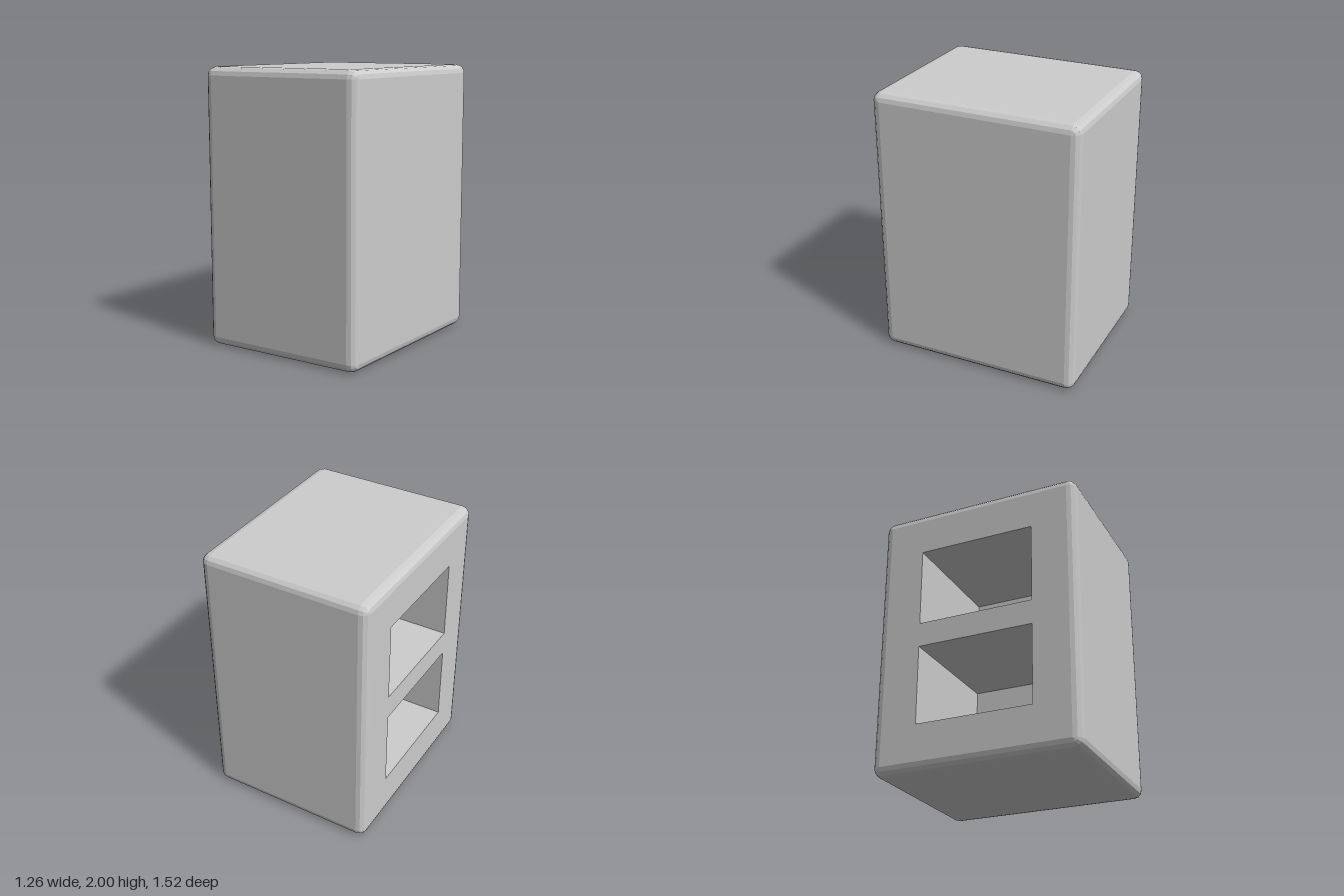
import * as THREE from 'three';

const HX = 0.63, HY = 1, HZ = 0.76; // half sizes of the block
const R = 0.062, SEG = 3;           // edge rounding in three facets
const RECESS = { halfWidth: 0.43, height: 0.58, depth: 0.93, centres: [0.62, 1.38] };

// Rounded-rectangle ring in the yz plane, with corner radius r
function ring(x, r) {
  const points = [];
  [[1, 1], [-1, 1], [-1, -1], [1, -1]].forEach(([sy, sz], corner) => {
    for (let k = 0; k <= SEG; k++) {
      const a = (corner + k / SEG) * Math.PI / 2;
      points.push(new THREE.Vector3(x, HY + sy * (HY - R) + r * Math.cos(a), sz * (HZ - R) + r * Math.sin(a)));
    }
  });
  return points;
}

// Side faces and faceted edges, lofted along x
function shellGeometry() {
  const rings = [];
  for (const side of [-1, 1]) {
    for (let k = 0; k <= SEG; k++) {
      const a = (side < 0 ? SEG - k : k) / SEG * Math.PI / 2;
      rings.push(ring(side * (HX - R + R * Math.sin(a)), R * Math.cos(a)));
    }
  }
  const positions = [];
  const triangle = (a, b, c) => {
    if (new THREE.Triangle(a, b, c).getArea() > 1e-9) {
      for (const p of [a, b, c]) positions.push(p.x, p.y, p.z);
    }
  };
  for (let i = 0; i < rings.length - 1; i++) {
    const n = rings[i].length;
    for (let j = 0; j < n; j++) {
      const a = rings[i][j], b = rings[i][(j + 1) % n];
      const c = rings[i + 1][(j + 1) % n], d = rings[i + 1][j];
      triangle(a, b, c);
      triangle(a, c, d);
    }
  }
  const geometry = new THREE.BufferGeometry();
  geometry.setAttribute('position', new THREE.Float32BufferAttribute(positions, 3));
  geometry.computeVertexNormals();
  return geometry;
}

function rectangle(path, cy, halfWidth, halfHeight) {
  path.moveTo(-halfWidth, cy - halfHeight);
  path.lineTo(halfWidth, cy - halfHeight);
  path.lineTo(halfWidth, cy + halfHeight);
  path.lineTo(-halfWidth, cy + halfHeight);
  path.closePath();
  return path;
}

// Flat end face at x = side * HX, with optional openings
function endGeometry(side, open) {
  const shape = rectangle(new THREE.Shape(), HY, HZ - R, HY - R);
  if (open) {
    for (const cy of RECESS.centres) {
      shape.holes.push(rectangle(new THREE.Path(), cy, RECESS.halfWidth, RECESS.height / 2));
    }
  }
  return new THREE.ShapeGeometry(shape).rotateY(side * Math.PI / 2).translate(side * HX, 0, 0);
}

// Box without its -x face, turned inside out
function recessGeometry(cy) {
  const box = new THREE.BoxGeometry(RECESS.depth, RECESS.height, RECESS.halfWidth * 2);
  const index = Array.from(box.index.array);
  index.splice(6, 6);
  box.clearGroups();
  box.setIndex(index.reverse());
  const geometry = box.toNonIndexed();
  geometry.computeVertexNormals();
  return geometry.translate(-HX + RECESS.depth / 2, cy, 0);
}

export function createModel() {
  const model = new THREE.Group();
  model.name = 'block';
  const grey = new THREE.MeshStandardMaterial({ color: 0xcccccc });
  grey.name = 'light grey';
  const add = (name, geometry) => {
    const mesh = new THREE.Mesh(geometry, grey);
    mesh.name = name;
    model.add(mesh);
  };

  add('shell', shellGeometry());
  add('closedSide', endGeometry(1, false));
  add('openSide', endGeometry(-1, true));
  add('lowerRecess', recessGeometry(RECESS.centres[0]));
  add('upperRecess', recessGeometry(RECESS.centres[1]));
  return model;
}
